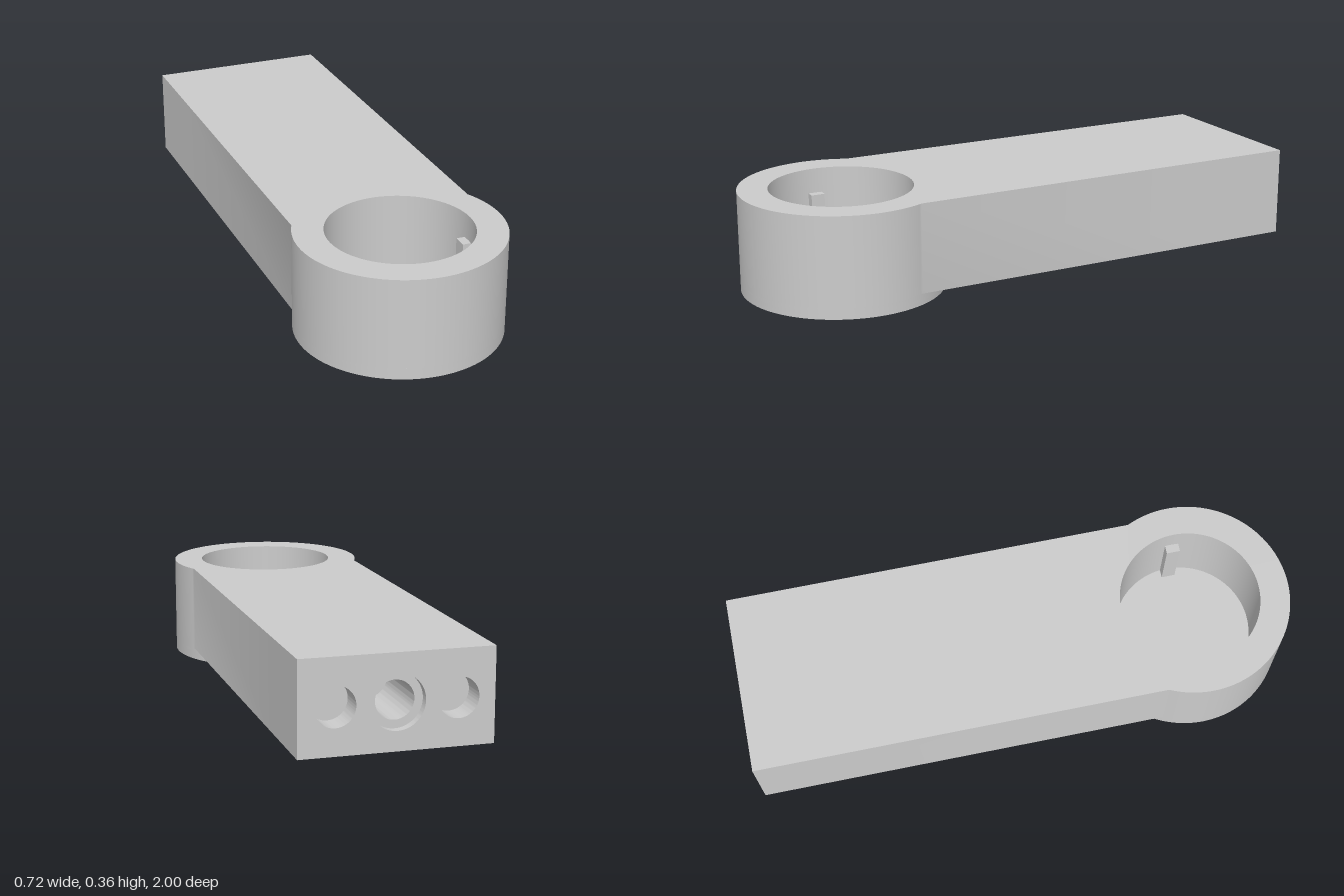
import * as THREE from 'three';
import { toCreasedNormals } from 'three/addons/utils/BufferGeometryUtils.js';

const HEAD_Z = 0.64, HEAD_R = 0.36, CUP_R = 0.253;
const HALF_W = 0.325, BASE_Y = 0.04, TOP_Y = 0.36;
const BACK_Z = -1, SPLIT_Z = -0.7; // the end block spans these

const material = new THREE.MeshStandardMaterial({ color: 0xcccccc });

function addMesh(group, name, geometry) {
  const mesh = new THREE.Mesh(toCreasedNormals(geometry, 0.5), material);
  mesh.name = name;
  group.add(mesh);
  return mesh;
}

function circle(r, x = 0, y = 0, Type = THREE.Path) {
  return new Type().absarc(x, y, r, 0, Math.PI * 2, false);
}

function hexagon(r, Type) {
  const points = [];
  for (let i = 0; i < 6; i++) {
    const a = (i * Math.PI) / 3;
    points.push(new THREE.Vector2(r * Math.cos(a), r * Math.sin(a) - HEAD_Z));
  }
  return new Type(points);
}

function extrude(shape, depth) {
  return new THREE.ExtrudeGeometry(shape, { depth, bevelEnabled: false, curveSegments: 72 });
}

// Extrude a plan outline (shape y = -z) upward between two heights
function slab(shape, y0, y1) {
  return extrude(shape, y1 - y0).rotateX(-Math.PI / 2).translate(0, y0, 0);
}

export function createModel() {
  const model = new THREE.Group();
  model.name = 'socketArm';

  // Arm and round head in one outline, with the cup opening
  const a0 = Math.acos(HALF_W / HEAD_R);
  const outline = new THREE.Shape();
  outline.moveTo(HALF_W, -SPLIT_Z);
  outline.lineTo(HALF_W, -HEAD_Z + HEAD_R * Math.sin(a0));
  outline.absarc(0, -HEAD_Z, HEAD_R, a0, Math.PI - a0, true);
  outline.lineTo(-HALF_W, -SPLIT_Z);
  outline.holes.push(circle(CUP_R, 0, -HEAD_Z));
  addMesh(model, 'armAndHead', slab(outline, BASE_Y, TOP_Y));

  // Head base: cup floor over a foot with a hexagonal groove
  const groove = 0.015;
  const foot = circle(HEAD_R, 0, -HEAD_Z, THREE.Shape);
  foot.holes.push(hexagon(0.227, THREE.Path));
  addMesh(model, 'foot', slab(foot, 0, groove));
  addMesh(model, 'footHexagon', slab(hexagon(0.19, THREE.Shape), 0, groove));
  addMesh(model, 'cupFloor', slab(circle(HEAD_R, 0, -HEAD_Z, THREE.Shape), groove, BASE_Y));

  // Locking lugs on the cup wall
  for (const side of [-1, 1]) {
    const lug = addMesh(model, side > 0 ? 'leftLug' : 'rightLug',
      new THREE.BoxGeometry(0.04, 0.23, 0.05));
    lug.position.set(side * 0.242, 0.155, HEAD_Z);
  }

  // End block with three bores in the back face
  const midY = (BASE_Y + TOP_Y) / 2, boreX = 0.203, boreR = 0.068, counterR = 0.093;
  const end = new THREE.Shape([
    new THREE.Vector2(-HALF_W, BASE_Y), new THREE.Vector2(HALF_W, BASE_Y),
    new THREE.Vector2(HALF_W, TOP_Y), new THREE.Vector2(-HALF_W, TOP_Y),
  ]);
  end.holes.push(circle(boreR, -boreX, midY), circle(counterR, 0, midY), circle(boreR, boreX, midY));
  addMesh(model, 'endBlock', extrude(end, SPLIT_Z - BACK_Z).translate(0, 0, BACK_Z));

  // Floors of the shallow side bores
  for (const side of [-1, 1]) {
    const floor = addMesh(model, side > 0 ? 'leftBoreFloor' : 'rightBoreFloor',
      new THREE.CircleGeometry(boreR, 48).rotateY(Math.PI));
    floor.position.set(side * boreX, midY, BACK_Z + 0.09);
  }

  // Stepped sleeve narrowing the middle bore
  const sleeve = new THREE.Shape();
  sleeve.absarc(0, 0, counterR, 0, Math.PI * 2, false);
  sleeve.holes.push(circle(0.065));
  const sleeveMesh = addMesh(model, 'middleBoreSleeve', extrude(sleeve, 0.27));
  sleeveMesh.position.set(0, midY, BACK_Z + 0.03);

  return model;
}
